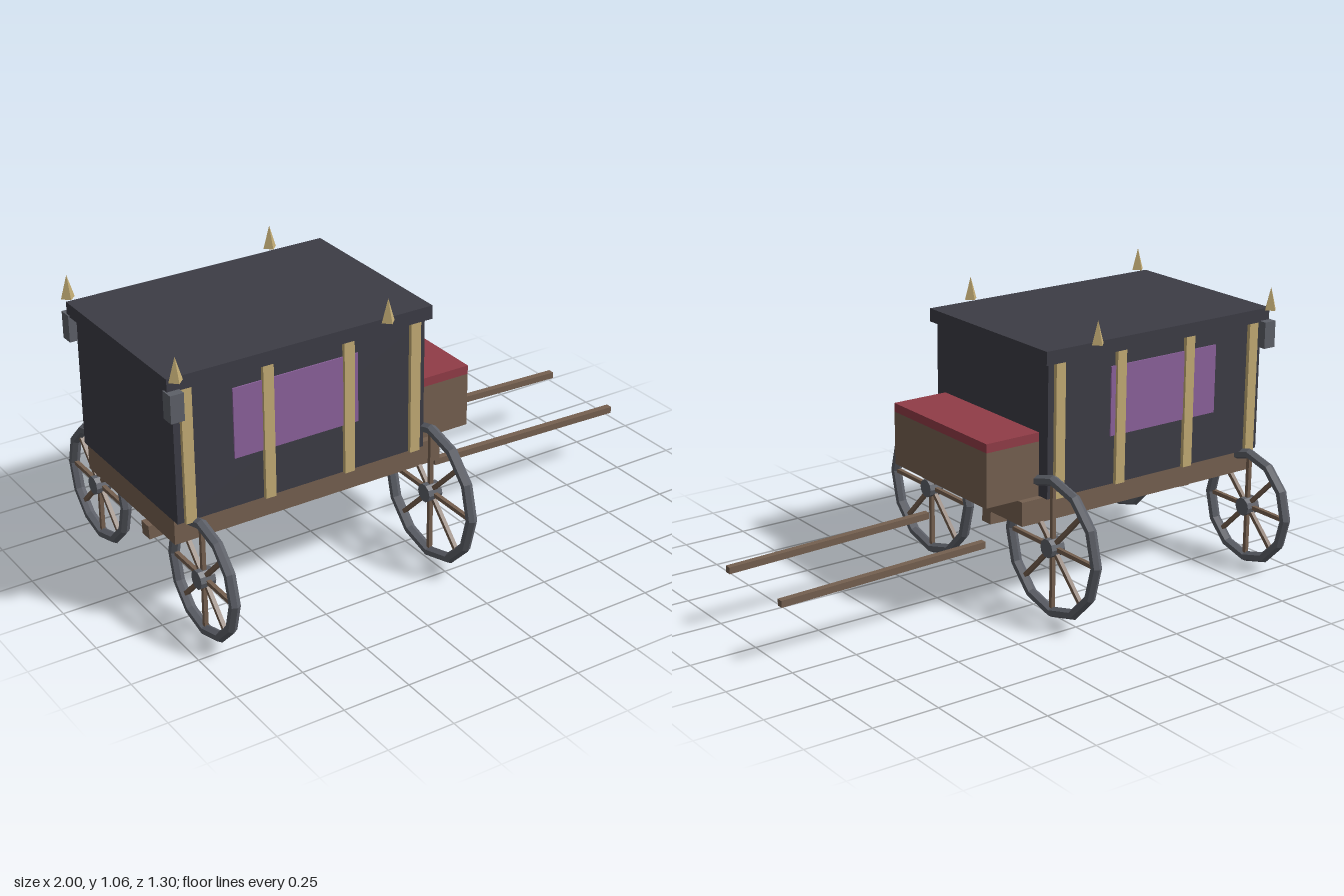
import * as THREE from 'three';

const paint = (name, color) => {
  const m = new THREE.MeshStandardMaterial({ color });
  m.name = name;
  m.flatShading = true;
  return m;
};

export function createModel() {
  const black = paint('blackLacquer', 0x3c3c45);
  const wood = paint('brownWood', 0x756050);
  const gold = paint('paleGold', 0xc2ab74);
  const red = paint('redCushion', 0x913c47);
  const purple = paint('purpleCurtain', 0x8b619b);
  const iron = paint('greyIron', 0x5d6068);

  const model = new THREE.Group();
  model.name = 'carriage';

  const add = (name, geometry, material, x = 0, y = 0, z = 0, parent = model) => {
    const mesh = new THREE.Mesh(geometry, material);
    mesh.name = name;
    mesh.position.set(x, y, z);
    parent.add(mesh);
    return mesh;
  };

  // Box given by its lower and upper corners
  const block = (name, material, [x0, y0, z0], [x1, y1, z1]) =>
    add(name, new THREE.BoxGeometry(x1 - x0, y1 - y0, z1 - z0), material,
      (x0 + x1) / 2, (y0 + y1) / 2, (z0 + z1) / 2);

  // Square bar running between two points in the xy plane
  const bar = (name, size, x0, y0, x1, y1, z) => {
    const length = Math.hypot(x1 - x0, y1 - y0);
    const mesh = add(name, new THREE.BoxGeometry(length, size, size), wood,
      (x0 + x1) / 2, (y0 + y1) / 2, z);
    mesh.rotation.z = Math.atan2(y1 - y0, x1 - x0);
  };

  // Cabin, chassis and driver's box
  block('chassis', wood, [-0.97, 0.34, -0.315], [0.1, 0.43, 0.315]);
  block('cabin', black, [-0.97, 0.43, -0.34], [0.01, 0.926, 0.34]);
  block('roof', black, [-0.995, 0.925, -0.357], [0.03, 0.975, 0.357]);
  block('driverBox', wood, [0.01, 0.43, -0.29], [0.235, 0.632, 0.29]);
  block('driverCushion', red, [0.01, 0.632, -0.29], [0.235, 0.665, 0.29]);

  // Central perch under the floor
  bar('perch', 0.052, -0.92, 0.225, 0.03, 0.271, 0);

  // Wheel turning in the yz plane, standing on the ground
  const wheel = (name, radius, x, z) => {
    const group = new THREE.Group();
    group.name = name;
    group.position.set(x, radius, z);
    model.add(group);

    const rim = add('rim', new THREE.TorusGeometry(radius - 0.02, 0.02, 6, 12), iron, 0, 0, 0, group);
    rim.rotation.y = Math.PI / 2;
    const hub = add('hub', new THREE.CylinderGeometry(0.035, 0.035, 0.056, 10), iron, 0, 0, 0, group);
    hub.rotation.z = Math.PI / 2;

    const length = radius - 0.025;
    for (let i = 0; i < 8; i++) {
      const a = i * Math.PI / 4;
      const spoke = add('spoke', new THREE.BoxGeometry(0.015, length, 0.015), wood,
        0, Math.cos(a) * length / 2, Math.sin(a) * length / 2, group);
      spoke.rotation.x = a;
    }
  };

  // Parts mirrored on both sides
  for (const s of [-1, 1]) {
    const side = (name, material, x0, x1, y0, y1, z0, z1) =>
      block(name, material,
        [x0, y0, Math.min(s * z0, s * z1)], [x1, y1, Math.max(s * z0, s * z1)]);

    wheel('frontWheel', 0.267, 0.015, s * 0.381);
    wheel('rearWheel', 0.225, -0.904, s * 0.381);

    for (const x of [-0.925, -0.62, -0.305, -0.035])
      side('post', gold, x - 0.02, x + 0.02, 0.43, 0.925, 0.32, 0.355);

    side('curtain', purple, -0.75, -0.265, 0.612, 0.87, 0.338, 0.345);
    side('lantern', iron, -1.0, -0.95, 0.83, 0.93, 0.337, 0.387);

    for (const x of [-0.975, -0.17])
      add('finial', new THREE.ConeGeometry(0.026, 0.085, 4), gold, x, 1.018, s * 0.383);

    bar('shaft', 0.025, 0.17, 0.249, 1.0, 0.227, s * 0.18);
  }

  return model;
}
